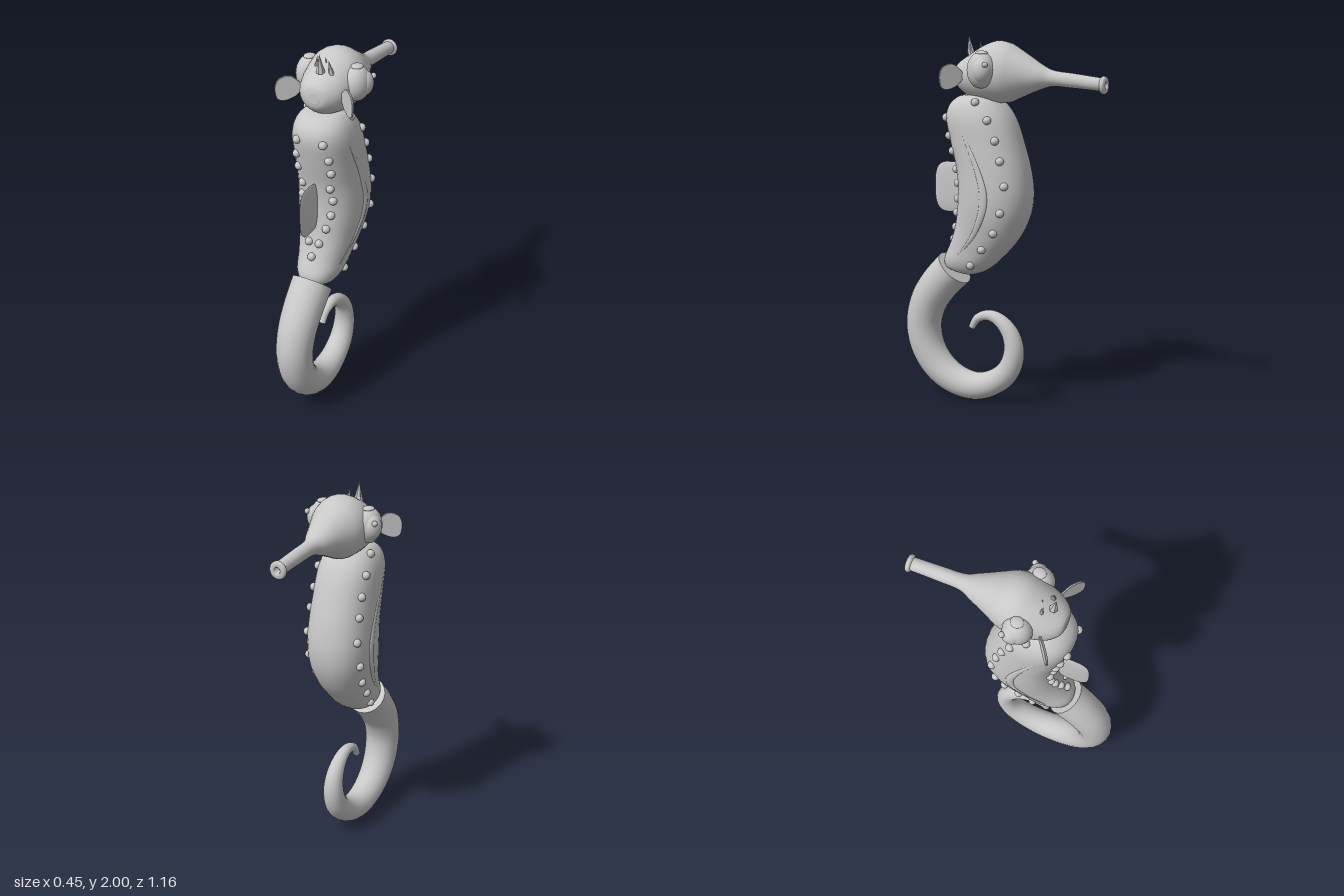
import * as THREE from 'three';

const TAU = Math.PI * 2;
const V = (x, y, z) => new THREE.Vector3(x, y, z);
const spow = (v, p) => Math.sign(v) * Math.abs(v) ** p;

// Smooth skin over closed rings of points, with a flat fan at each end
function loft(rings) {
  const pos = [], index = [], n = rings[0].length;
  rings.forEach(r => r.forEach(p => pos.push(p.x, p.y, p.z)));
  for (let i = 0; i < rings.length - 1; i++) {
    for (let j = 0; j < n; j++) {
      const a = i * n + j, b = i * n + (j + 1) % n;
      index.push(a, b, a + n, b, b + n, a + n);
    }
  }
  [rings[0], rings[rings.length - 1]].forEach((ring, end) => {
    const base = pos.length / 3, c = V(0, 0, 0);
    ring.forEach(p => { c.addScaledVector(p, 1 / n); pos.push(p.x, p.y, p.z); });
    pos.push(c.x, c.y, c.z);
    for (let j = 0; j < n; j++) {
      const k = (j + 1) % n;
      index.push(base + n, base + (end ? j : k), base + (end ? k : j));
    }
  });
  const g = new THREE.BufferGeometry();
  g.setAttribute('position', new THREE.Float32BufferAttribute(pos, 3));
  g.setIndex(index);
  g.computeVertexNormals();
  return g;
}

const ringOf = (n, fn) => Array.from({ length: n }, (_, j) => fn(j / n * TAU));
const curve = pts => new THREE.CatmullRomCurve3(pts.map(p => V(...p)));

// Trunk edges: back edge as (half width, y, z), belly edge as (0, y, z)
const backEdge = curve([
  [0.04, 1.69, 0.16], [0.1, 1.68, 0.24], [0.14, 1.63, 0.295], [0.163, 1.57, 0.31], [0.17, 1.44, 0.285],
  [0.175, 1.3, 0.25], [0.178, 1.2, 0.24], [0.172, 1.1, 0.245], [0.152, 0.98, 0.265], [0.132, 0.88, 0.3],
  [0.115, 0.8, 0.335], [0.092, 0.755, 0.33], [0.05, 0.725, 0.26], [0.01, 0.712, 0.21]]);
const bellyEdge = curve([
  [0, 1.69, 0.12], [0, 1.685, 0.05], [0, 1.65, 0], [0, 1.57, -0.06], [0, 1.42, -0.115],
  [0, 1.28, -0.152], [0, 1.16, -0.165], [0, 1.05, -0.15], [0, 0.94, -0.1], [0, 0.85, -0.03],
  [0, 0.77, 0.05], [0, 0.73, 0.11], [0, 0.712, 0.17], [0, 0.71, 0.19]]);

// Point on the trunk: t runs down the body, angle 0 is the back, PI the belly
function bodyPoint(t, a) {
  const b = backEdge.getPoint(t), f = bellyEdge.getPoint(t);
  const c = spow(Math.cos(a), 0.88) / 2, s = spow(Math.sin(a), 0.88);
  return V(-s * b.x, (b.y + f.y) / 2 + c * (b.y - f.y), (b.z + f.z) / 2 + c * (b.z - f.z));
}

// Skin point on the -x side nearest to a side-view position
function onSkin(z, y) {
  let best = null, bestD = Infinity;
  for (let i = 0; i <= 90; i++) {
    for (let j = 0; j <= 60; j++) {
      const p = bodyPoint(i / 90, j / 60 * Math.PI), d = Math.hypot(p.z - z, p.y - y);
      if (d < bestD) { bestD = d; best = p; }
    }
  }
  return best;
}

// Tapered round tube along a curve in the side plane; x of each point is the radius
function taperedTube(path, steps, sides) {
  const rings = [];
  for (let i = 0; i <= steps; i++) {
    const p = path.getPoint(i / steps), q = path.getTangent(i / steps);
    const l = Math.hypot(q.y, q.z), ny = -q.z / l, nz = q.y / l;
    rings.push(ringOf(sides, a => V(
      p.x * Math.sin(a), p.y + ny * p.x * Math.cos(a), p.z + nz * p.x * Math.cos(a))));
  }
  return loft(rings);
}

export function createModel() {
  const model = new THREE.Group();
  const grey = new THREE.MeshStandardMaterial({ color: 0xc8c8c8 });
  grey.name = 'paleGrey';
  const greyFlat = grey;
  const add = (name, geo, x = 0, y = 0, z = 0) => {
    const m = new THREE.Mesh(geo, greyFlat);
    m.name = name;
    m.position.set(x, y, z);
    model.add(m);
    return m;
  };
  const ball = new THREE.SphereGeometry(1, 24, 16);
  const blob = (name, x, y, z, rx, ry, rz) => {
    const m = add(name, ball, x, y, z);
    m.scale.set(rx, ry, rz);
    return m;
  };

  // Trunk
  const rings = [];
  for (let i = 0; i <= 60; i++) rings.push(ringOf(36, a => bodyPoint(i / 60, a)));
  add('trunk', loft(rings));

  // Curled tail
  add('tail', taperedTube(curve([
    [0.11, 0.735, 0.29], [0.107, 0.64, 0.38], [0.103, 0.53, 0.453], [0.098, 0.4, 0.483], [0.094, 0.265, 0.455],
    [0.089, 0.16, 0.38], [0.083, 0.098, 0.28], [0.077, 0.079, 0.17], [0.07, 0.11, 0.06], [0.064, 0.185, -0.03],
    [0.057, 0.29, -0.067], [0.048, 0.39, -0.05], [0.038, 0.462, 0.01], [0.03, 0.488, 0.08],
    [0.024, 0.465, 0.15], [0.018, 0.41, 0.187]]), 90, 20));

  // Head and snout: x radius, y centre, z, with the y radius in a matching curve
  const head = [
    [0.26, 1.79, 0.03, 0.03], [0.25, 1.79, 0.06, 0.065], [0.2, 1.787, 0.1, 0.112], [0.1, 1.8, 0.146, 0.144],
    [0.03, 1.81, 0.162, 0.153], [-0.04, 1.806, 0.156, 0.147], [-0.1, 1.802, 0.127, 0.122],
    [-0.16, 1.797, 0.096, 0.095], [-0.22, 1.79, 0.066, 0.07], [-0.28, 1.785, 0.043, 0.044],
    [-0.4, 1.775, 0.038, 0.038], [-0.555, 1.76, 0.034, 0.035]];
  const centre = curve(head.map(h => [h[3], h[1], h[0]]));
  const heights = curve(head.map(h => [h[2], h[1], h[0]]));
  const headRings = [];
  for (let i = 0; i <= 55; i++) {
    const p = centre.getPoint(i / 55), ry = heights.getPoint(i / 55).x;
    headRings.push(ringOf(28, a => V(p.x * Math.cos(a), p.y - ry * Math.sin(a), p.z)));
  }
  add('headAndSnout', loft(headRings));

  // Snout lip with a hollow mouth
  const lip = [[0.03, 0], [0.04, 0.002], [0.046, 0.01], [0.046, 0.02], [0.04, 0.028], [0.022, 0.03],
    [0.017, 0.026], [0.015, 0.008], [0, 0.008]].map(p => new THREE.Vector2(...p));
  add('snoutLip', new THREE.LatheGeometry(lip, 24), 0, 1.757, -0.55).rotation.x = -Math.PI / 2;

  // Back fin: thin rounded-square lens
  const fin = new THREE.SphereGeometry(1, 32, 24);
  const fp = fin.attributes.position;
  for (let i = 0; i < fp.count; i++) {
    const r = Math.hypot(fp.getY(i), fp.getZ(i)) || 1;
    fp.setXYZ(i, fp.getX(i) * 0.013,
      0.138 * r * spow(fp.getY(i) / r, 0.65), 0.095 * r * spow(fp.getZ(i) / r, 0.65));
  }
  fin.computeVertexNormals();
  add('backFin', fin, 0, 1.183, 0.31);

  // Ear fin outline, u outward and v upward
  const ear = new THREE.Shape();
  ear.moveTo(0, -0.015);
  ear.lineTo(0.03, -0.045);
  ear.quadraticCurveTo(0.1, -0.085, 0.125, -0.05);
  ear.quadraticCurveTo(0.145, 0.02, 0.11, 0.05);
  ear.quadraticCurveTo(0.07, 0.075, 0.04, 0.055);
  ear.lineTo(0, 0.02);
  const earGeo = new THREE.ExtrudeGeometry(ear, { depth: 0.006, bevelSize: 0.002, bevelThickness: 0.002, bevelSegments: 1 });

  const backStuds = [[0.295, 1.57], [0.27, 1.48], [0.247, 1.39], [0.232, 1.3], [0.22, 1.22], [0.226, 1.14],
    [0.24, 1.06], [0.265, 0.97], [0.303, 0.9]];
  const bellyStuds = [[0.1, 1.66], [0.025, 1.57], [-0.02, 1.46], [-0.05, 1.35], [-0.075, 1.22], [-0.06, 1.09],
    [-0.01, 0.97], [0.06, 0.88], [0.14, 0.78]];
  const studs = [...backStuds, ...bellyStuds].map(s => onSkin(...s));

  for (const s of [1, -1]) {
    const side = s > 0 ? 'left' : 'right';
    studs.forEach(p => blob(side + 'Stud', -s * p.x, p.y, p.z, 0.022, 0.022, 0.022));

    // Crescent ridge along the flank
    const ridge = [];
    for (let i = 0; i <= 40; i++) {
      const k = i / 40, bend = (2 * k - 1) ** 2;
      const p = bodyPoint(0.24 + 0.5 * k, Math.PI / 2 - 0.33 * bend + 0.02);
      const r = 0.003 + 0.02 * Math.sin(k * Math.PI);
      ridge.push(ringOf(10, a => V(-s * p.x + s * (-0.002 + 0.4 * r * Math.sin(a)) , p.y, p.z + s * r * Math.cos(a))));
    }
    ridge.forEach(r => { if (s > 0) r.reverse(); else r.reverse(); });
    add(side + 'FlankRidge', loft(ridge));

    // Eye, pupil, glint and lid
    blob(side + 'Eye', s * 0.135, 1.825, 0.06, 0.068, 0.094, 0.076);
    blob(side + 'Pupil', s * 0.165, 1.825, 0.042, 0.05, 0.066, 0.052);
    blob(side + 'EyeGlint', s * 0.2, 1.857, 0.007, 0.015, 0.015, 0.015);
    blob(side + 'EyeLid', s * 0.135, 1.913, 0.057, 0.03, 0.012, 0.034);

    const e = add(side + 'EarFin', earGeo, s * 0.118, 1.79, s > 0 ? 0.175 : 0.17);
    e.rotation.y = s > 0 ? -0.66 : Math.PI + 0.66;
  }

  // Crown spikes: x, z, radius, tip height, tilt sideways
  const spikes = [[0, 0.185, 0.023, 2.0, 0], [0.045, 0.16, 0.02, 1.968, 0.15],
    [-0.045, 0.138, 0.017, 1.97, -0.15], [0, 0.12, 0.01, 1.965, 0]];
  for (const [x, z, r, top, tilt] of spikes) {
    const geo = new THREE.ConeGeometry(r, 0.1, 6).toNonIndexed();
    geo.computeVertexNormals();
    const m = add('crownSpike', geo, x, top - 0.05, z + 0.005);
    m.rotation.set(0.12, 0, tilt);
  }
  return model;
}
